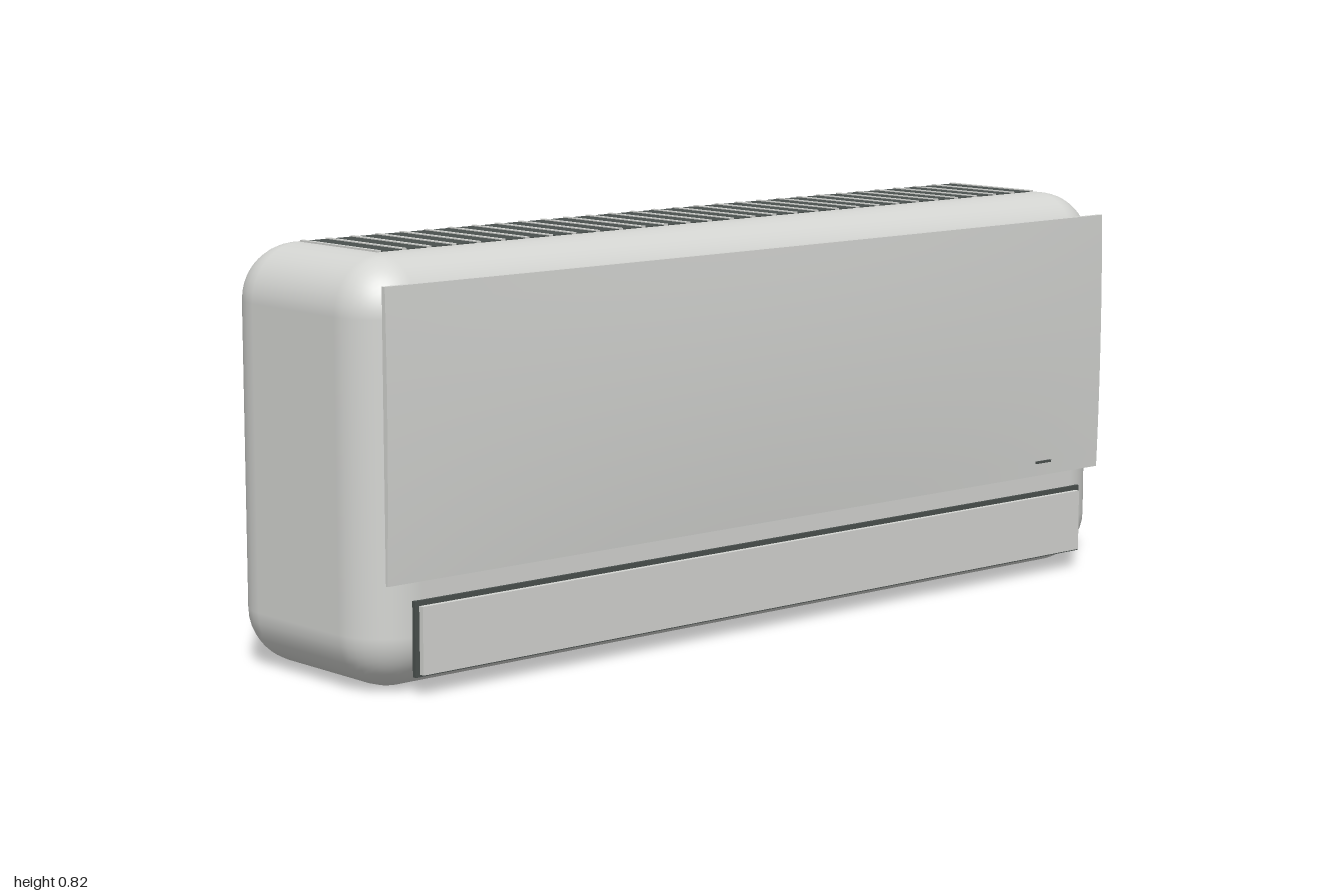
import * as THREE from 'three';
import { RoundedBoxGeometry } from 'three/addons/geometries/RoundedBoxGeometry.js';

const shell = new THREE.MeshStandardMaterial({ color: 0xd4d5d2 });
shell.name = 'shell grey';
const dark = new THREE.MeshStandardMaterial({ color: 0x4a504e });
dark.name = 'vent dark grey';

// Adds a named mesh at a position
function add(parent, name, geometry, material, x, y, z) {
  const mesh = new THREE.Mesh(geometry, material);
  mesh.name = name;
  mesh.position.set(x, y, z);
  parent.add(mesh);
  return mesh;
}

// Front cover: flat back, face bulging gently in both directions
function coverGeometry(width, bottom, top, back) {
  const height = top - bottom;
  const geometry = new THREE.BoxGeometry(width, height, 0.01, 24, 16, 1);
  const p = geometry.attributes.position;
  for (let i = 0; i < p.count; i++) {
    const u = p.getX(i) / (width / 2);
    const v = p.getY(i) / height + 0.5;
    const bulge = 1 - ((v - 0.62) / 0.62) ** 2;
    const z = p.getZ(i) > 0 ? 0.233 + 0.017 * bulge * (1 - 0.6 * u * u) : back;
    p.setZ(i, z);
  }
  geometry.computeVertexNormals();
  return geometry;
}

export function createModel() {
  const model = new THREE.Group();
  model.name = 'wallAirConditioner';

  // Rounded housing
  add(model, 'housing', new RoundedBoxGeometry(2, 0.816, 0.48, 5, 0.11), shell, 0, 0.408, -0.01);

  // Curved front cover with its small indicator mark
  add(model, 'frontCover', coverGeometry(1.94, 0.215, 0.77, 0.228), shell, 0, 0.4925, 0);
  add(model, 'indicator', new THREE.BoxGeometry(0.045, 0.005, 0.006), dark, 0.795, 0.245, 0.236);

  // Air outlet and the louver closing it
  add(model, 'airOutlet', new THREE.BoxGeometry(1.82, 0.145, 0.009), dark, 0, 0.1075, 0.2315);
  add(model, 'louver', new THREE.BoxGeometry(1.8, 0.13, 0.011), shell, 0, 0.105, 0.2415);

  // Top intake grille: dark bed crossed by slats, closed by end bars
  const grille = new THREE.Group();
  grille.name = 'intakeGrille';
  model.add(grille);
  add(grille, 'grilleBed', new THREE.BoxGeometry(1.77, 0.006, 0.24), dark, 0, 0.8145, -0.015);
  const slat = new THREE.BoxGeometry(0.009, 0.006, 0.244);
  const cells = 30;
  for (let i = 0; i <= cells; i++) {
    add(grille, 'slat', slat, shell, -0.885 + (1.77 * i) / cells, 0.8165, -0.015);
  }
  return model;
}
